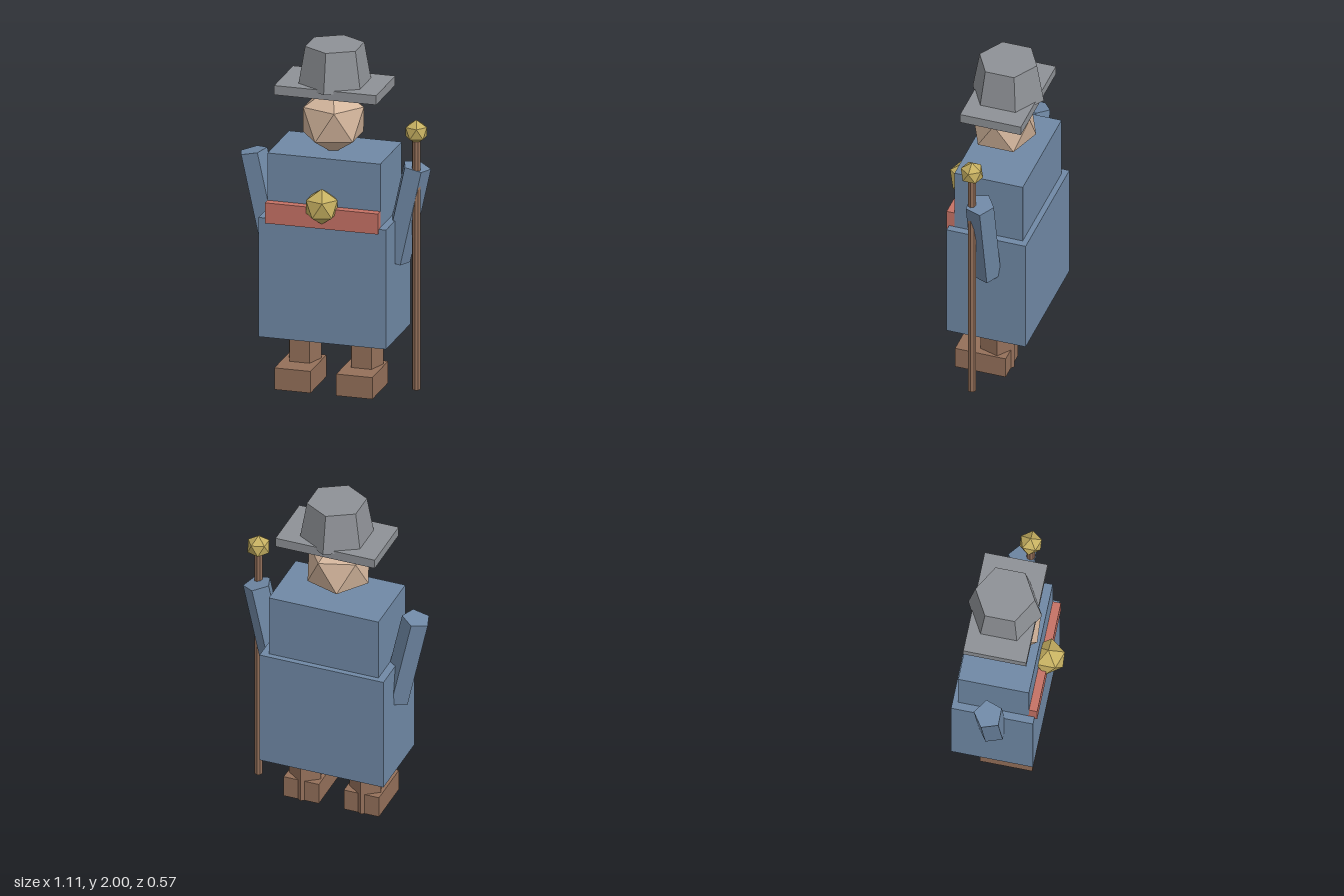
import * as THREE from 'three';

function mat(name, color) {
  const m = new THREE.MeshStandardMaterial({ color, flatShading: true });
  m.name = name;
  return m;
}

export function createModel() {
  const cloth = mat('blue cloth', 0x7089a6);
  const sash = mat('red sash', 0xc67265);
  const felt = mat('grey felt', 0x8e9196);
  const skin = mat('skin', 0xd3b59c);
  const gold = mat('gold', 0xc6b061);
  const brown = mat('brown', 0x94705a);

  const model = new THREE.Group();
  model.name = 'wanderer';
  const cx = -0.002, cz = -0.049;

  function add(name, geometry, material, x, y, z) {
    const mesh = new THREE.Mesh(geometry, material);
    mesh.name = name;
    mesh.position.set(x, y, z);
    model.add(mesh);
    return mesh;
  }
  const box = (name, m, w, h, d, x, y, z) => add(name, new THREE.BoxGeometry(w, h, d), m, x, y, z);

  // Prism with one corner pointing to the back
  const prism = (rTop, rBottom, h, sides) =>
    new THREE.CylinderGeometry(rTop, rBottom, h, sides, 1, false, Math.PI);

  // Icosahedron standing on a corner, upper ring pointing to +x
  function gem(r) {
    const ring = (y, start) => Array.from({ length: 5 }, (_, i) => {
      const a = start + i * Math.PI * 0.4;
      return [0.8944 * r * Math.cos(a), y * r, 0.8944 * r * Math.sin(a)];
    });
    const up = ring(0.4472, 0), low = ring(-0.4472, Math.PI / 5);
    const p = [];
    for (let i = 0; i < 5; i++) {
      const j = (i + 1) % 5;
      p.push([0, r, 0], up[j], up[i]);
      p.push(up[i], up[j], low[i]);
      p.push(low[i], up[j], low[j]);
      p.push([0, -r, 0], low[i], low[j]);
    }
    const g = new THREE.BufferGeometry();
    g.setAttribute('position', new THREE.Float32BufferAttribute(p.flat(), 3));
    g.computeVertexNormals();
    return g;
  }

  // Robe
  box('robeSkirt', cloth, 0.746, 0.705, 0.468, cx, 0.6625, cz);
  box('robeChest', cloth, 0.66, 0.42, 0.404, cx, 1.18, cz);

  // Belt and buckle
  box('belt', sash, 0.66, 0.121, 0.07, cx, 1.05, 0.165);
  add('buckle', gem(0.104), gold, cx, 1.12, 0.196);

  // Legs, shoes and arms
  for (const [side, s] of [['left', 1], ['right', -1]]) {
    add(side + 'Leg', prism(0.1, 0.1, 0.4, 5), brown, cx + s * 0.181, 0.2, cz);
    box(side + 'Shoe', brown, 0.212, 0.128, 0.3, cx + s * 0.181, 0.064, 0.015);
    const arm = add(side + 'Arm', prism(0.083, 0.083, 0.574, 5), cloth, cx + s * 0.418, 1.046, cz);
    arm.rotation.z = -s * 0.215;
  }

  // Head and hat
  add('head', gem(0.2), skin, cx, 1.565, -0.026);
  box('hatBrim', felt, 0.598, 0.055, 0.36, cx, 1.757, cz);
  add('hatCrown', prism(0.17, 0.211, 0.233, 6), felt, cx, 1.8835, cz - 0.002);

  // Staff
  add('staff', prism(0.024, 0.024, 1.5, 8), brown, 0.489, 0.775, -0.006);
  add('staffKnob', gem(0.07), gold, 0.489, 1.547, -0.006);

  return model;
}
